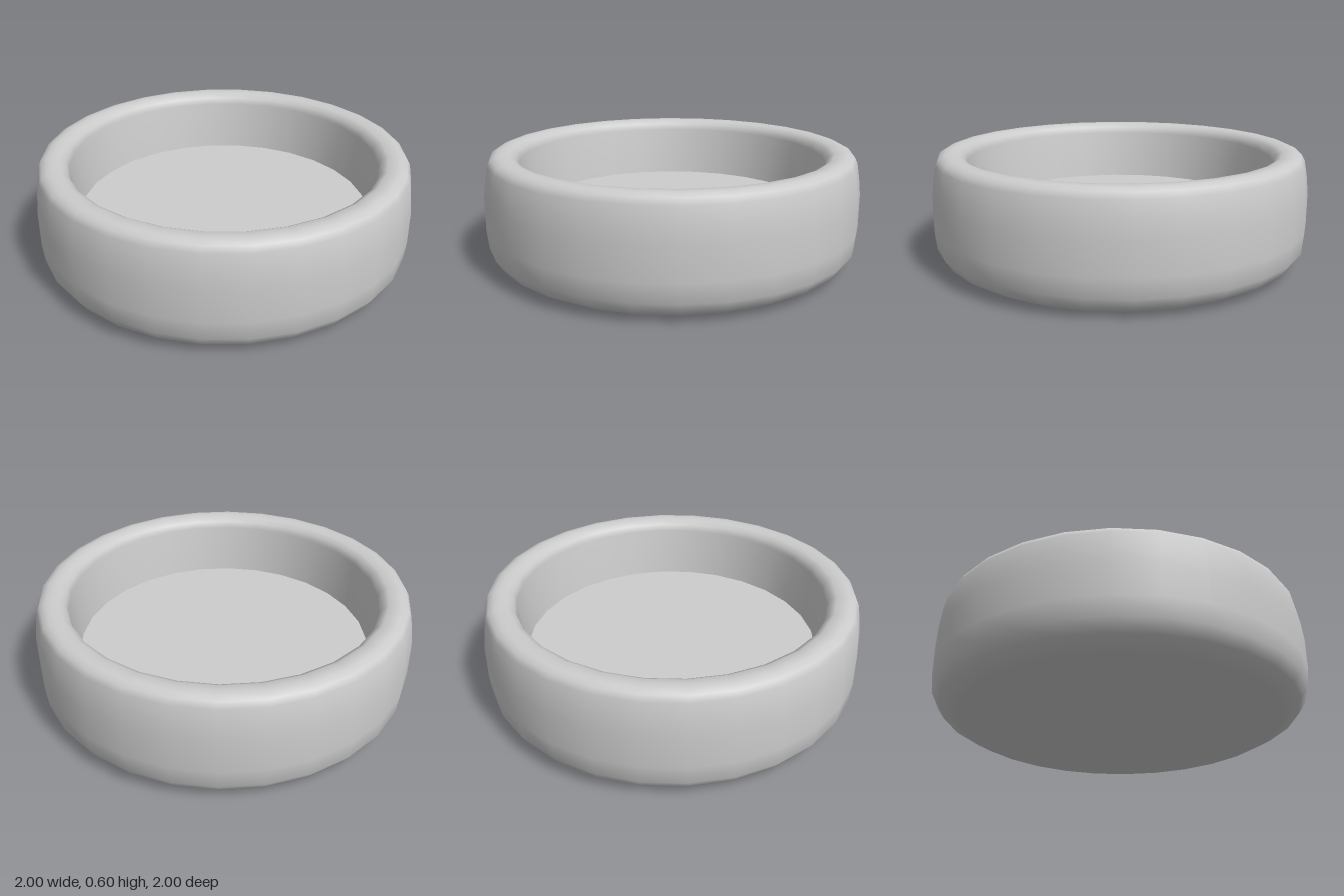
import * as THREE from 'three';

const SIDES = 28;
const START = -0.05; // slight twist of the facets about y

export function createModel() {
  const model = new THREE.Group();
  model.name = 'roundDish';

  const grey = new THREE.MeshStandardMaterial({ color: 0xcccccc });
  grey.name = 'lightGrey';

  // Turn a profile of [radius, height] pairs into a named mesh
  const turn = (name, profile) => {
    const points = profile.map(([r, y]) => new THREE.Vector2(r, y));
    const mesh = new THREE.Mesh(new THREE.LatheGeometry(points, SIDES, START), grey);
    mesh.name = name;
    model.add(mesh);
  };

  // Underside, bulging outer wall, rounded rim and tapered inner wall
  turn('body', [
    [0, 0], [0.86, 0], [0.95, 0.05], [0.99, 0.11], [1, 0.21], [1, 0.38],
    [0.99, 0.47], [0.976, 0.55], [0.96, 0.58], [0.93, 0.594], [0.9, 0.597],
    [0.86, 0.592], [0.83, 0.575], [0.815, 0.54], [0.78, 0.27],
  ]);

  // Flat inner floor, kept separate for a sharp edge
  turn('innerFloor', [[0.78, 0.27], [0, 0.27]]);

  return model;
}
